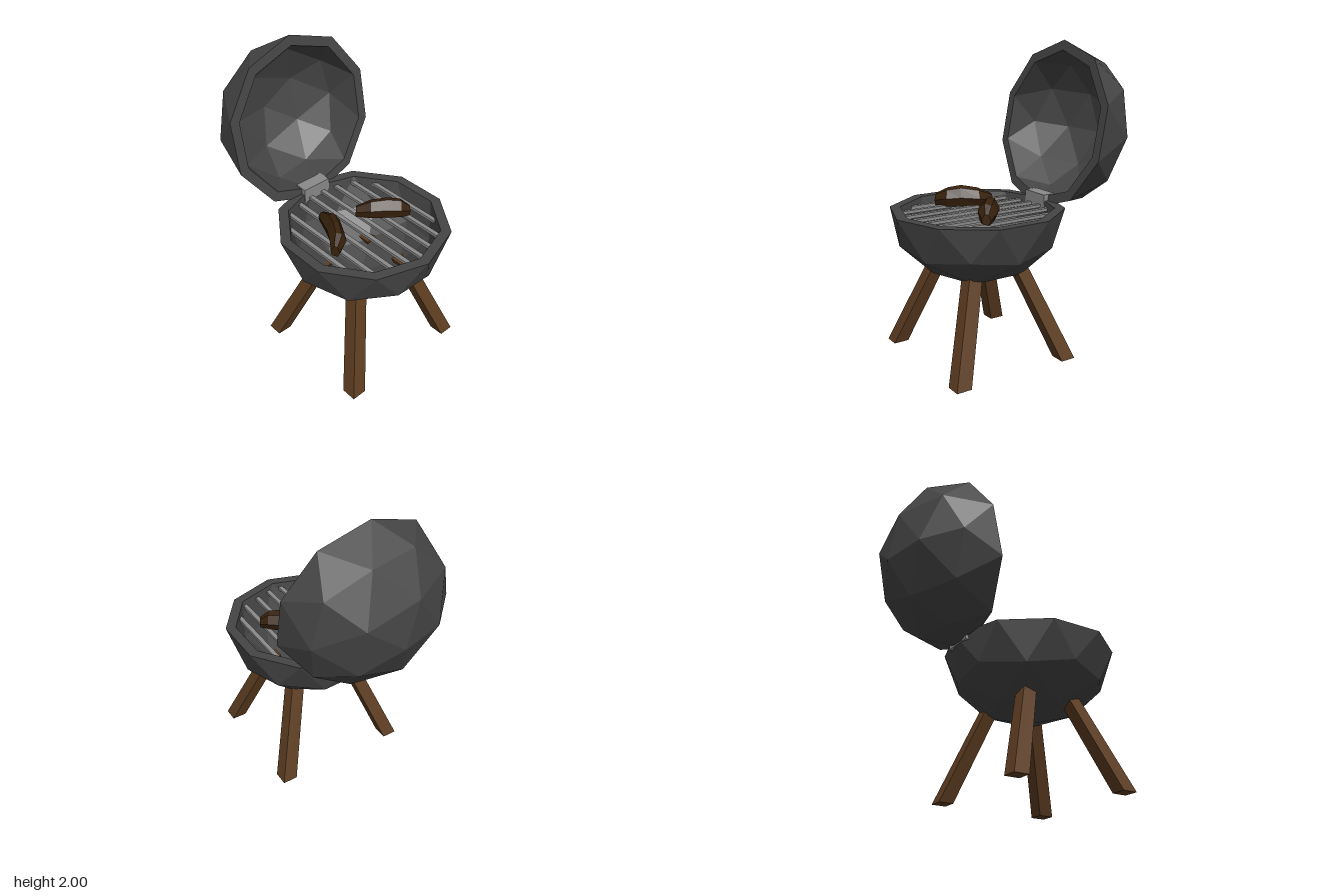
import * as THREE from 'three';

const mat = (name, color, extra = {}) => {
  const m = new THREE.MeshStandardMaterial({ color, flatShading: true, ...extra });
  m.name = name;
  return m;
};

function facets(tris) {
  const g = new THREE.BufferGeometry();
  g.setAttribute('position', new THREE.Float32BufferAttribute(tris.flat(2), 3));
  g.computeVertexNormals();
  return g;
}

// Half of a once-subdivided icosahedron, pole down, with an inner wall and a flat rim
function shellGeometry(radius, depth, innerScale) {
  const surface = (s) => {
    const pt = (lat, step) => {
      const az = (270 + step) * Math.PI / 180, r = Math.cos(lat) * radius * s;
      return [Math.sin(az) * r, -Math.sin(lat) * depth * s, Math.cos(az) * r];
    };
    const pole = [0, -depth * s, 0];
    const low = [], mid = [], rim = [];
    for (let k = 0; k < 5; k++) low.push(pt(1.0172, 72 * k));
    for (let j = 0; j < 10; j++) {
      mid.push(pt(j % 2 ? 0.5536 : 0.4636, 36 * j));
      rim.push(pt(0, 18 + 36 * j));
    }
    const tris = [];
    for (let k = 0; k < 5; k++) {
      const a = low[k], b = low[(k + 1) % 5];
      const m0 = mid[(2 * k + 9) % 10], m1 = mid[2 * k], m2 = mid[2 * k + 1];
      tris.push([pole, a, b], [a, m0, m1], [a, m1, m2], [a, m2, b]);
    }
    for (let j = 0; j < 10; j++) {
      tris.push([mid[j], rim[(j + 9) % 10], rim[j]], [mid[j], rim[j], mid[(j + 1) % 10]]);
    }
    return { tris, rim };
  };
  const outer = surface(1), inner = surface(innerScale);
  const tris = [...outer.tris.map(([a, b, c]) => [a, c, b]), ...inner.tris];
  for (let j = 0; j < 10; j++) {
    const n = (j + 1) % 10, o = outer.rim, i = inner.rim;
    tris.push([o[j], o[n], i[n]], [o[j], i[n], i[j]]);
  }
  return facets(tris);
}

// Faceted lump lofted through sections of [x, z, halfWidth, top]
function lumpGeometry(sections, base) {
  const profile = [[1, 0.45], [0.5, 0.9], [-0.2, 1], [-0.9, 0.6], [-0.7, 0.1], [0.6, 0]];
  const rings = sections.map(([x, z, w, top], i) => {
    const p = sections[Math.max(i - 1, 0)], q = sections[Math.min(i + 1, sections.length - 1)];
    const d = new THREE.Vector2(q[0] - p[0], q[1] - p[1]).normalize();
    return profile.map(([s, h]) => [x + d.y * s * w, base + h * (top - base), z - d.x * s * w]);
  });
  const tris = [], n = profile.length, last = rings[rings.length - 1];
  for (let r = 0; r < rings.length - 1; r++) {
    const a = rings[r], b = rings[r + 1];
    for (let i = 0; i < n; i++) {
      const j = (i + 1) % n;
      tris.push([a[i], a[j], b[j]], [a[i], b[j], b[i]]);
    }
  }
  for (let i = 1; i < n - 1; i++) {
    tris.push([rings[0][0], rings[0][i + 1], rings[0][i]], [last[0], last[i], last[i + 1]]);
  }
  return facets(tris);
}

export function createModel() {
  const model = new THREE.Group();
  const iron = mat('charcoal iron', 0x454545);
  const steel = mat('grey steel', 0x8a8a8a);
  const wood = mat('brown wood', 0x5c3c20);
  const meatMat = mat('dark roast', 0x38210c);
  const cz = 0.245, rimY = 0.965, R = 0.56, inner = 0.88;

  const add = (name, geo, material, x = 0, y = 0, z = 0) => {
    const m = new THREE.Mesh(geo, material);
    m.name = name;
    m.position.set(x, y, z);
    model.add(m);
    return m;
  };

  // Bowl and the open lid share one shell
  const shell = shellGeometry(R, 0.485, inner);
  add('bowl', shell, iron, 0, rimY, cz);
  const lid = add('lid', shell, iron, 0, 1.452, -0.33);
  lid.rotation.x = THREE.MathUtils.degToRad(79);

  // Hinge block
  add('hinge', new THREE.BoxGeometry(0.21, 0.1, 0.09), steel, 0, 0.957, -0.25);

  // Grill bars, each cut to the length of the ten-sided opening
  const corners = [[0, 1], [0.588, 0.809], [0.951, 0.309]].map((c) => c.map((v) => v * R * inner));
  for (const x of [-0.375, -0.278, -0.16, -0.052, 0.05, 0.157, 0.275, 0.373]) {
    const k = Math.abs(x) < corners[1][0] ? 0 : 1;
    const [a, b] = [corners[k], corners[k + 1]];
    const half = a[1] + (b[1] - a[1]) * (Math.abs(x) - a[0]) / (b[0] - a[0]);
    add('grillBar', new THREE.BoxGeometry(0.03, 0.02, 2 * half), steel, x, 0.925, cz);
  }

  // Splayed legs: boxes sheared toward the middle
  const H = 0.625;
  for (const sx of [-1, 1]) {
    for (const sz of [-1, 1]) {
      const g = new THREE.BoxGeometry(0.1, H, 0.1).translate(0, H / 2, 0);
      const p = g.attributes.position;
      for (let i = 0; i < p.count; i++) {
        const t = p.getY(i) / H, s = 1 - 0.08 * t;
        p.setX(i, p.getX(i) * s + sx * (0.423 - 0.218 * t));
        p.setZ(i, p.getZ(i) * s + sz * (0.385 - 0.225 * t));
      }
      g.computeVertexNormals();
      add('leg', g, wood, 0, 0, cz);
    }
  }

  // Two pieces of meat on the grill
  add('meatRight', lumpGeometry([
    [-0.165, 0.035, 0.03, 1.0], [-0.18, 0.13, 0.063, 1.045], [-0.23, 0.23, 0.055, 1.065],
    [-0.275, 0.305, 0.055, 1.05], [-0.34, 0.355, 0.03, 1.01],
  ], 0.93), meatMat);
  add('meatLeft', lumpGeometry([
    [0.035, 0.14, 0.035, 1.0], [0.1, 0.21, 0.06, 1.05], [0.185, 0.275, 0.065, 1.06],
    [0.25, 0.33, 0.06, 1.05], [0.3, 0.365, 0.03, 1.0],
  ], 0.93), meatMat);

  return model;
}
